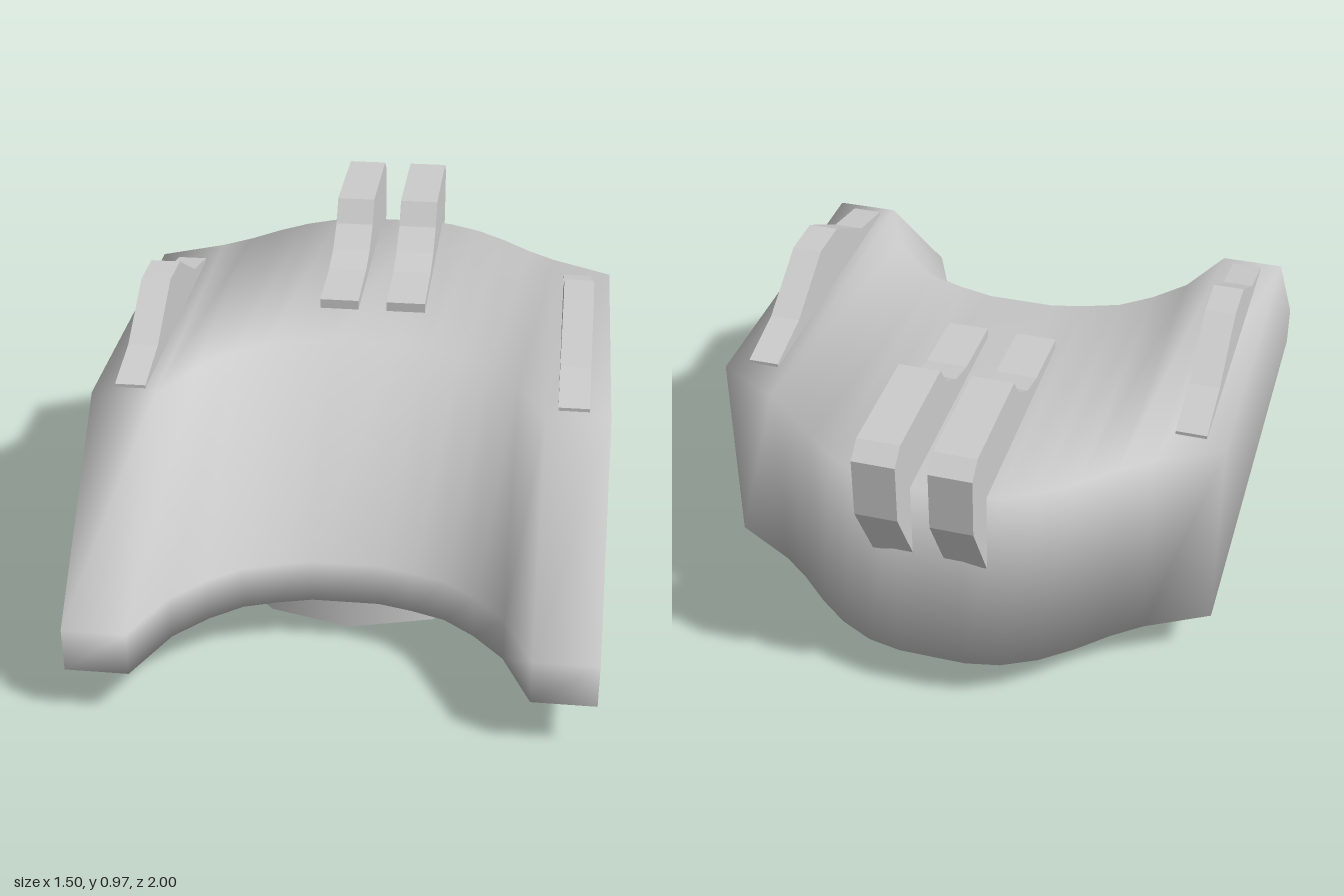
import * as THREE from 'three';

const material = new THREE.MeshStandardMaterial({ color: 0xcccccc, side: THREE.DoubleSide });

// Half plan of the hull: [x, front z, back z]
const halfPlan = [
  [0.1, 0.58, -0.89], [0.2, 0.605, -0.87], [0.3, 0.64, -0.82], [0.39, 0.71, -0.75],
  [0.48, 0.81, -0.665], [0.565, 1, -0.6], [0.75, 1, -0.5],
];

// Hull: one five-cornered side section per plan column, joined in a smooth loop
function hullGeometry() {
  const mirrored = halfPlan.map(([x, f, b]) => [-x, f, b]).reverse();
  const columns = [...mirrored, ...halfPlan];
  const positions = [];
  const index = [];
  for (const [x, front, back] of columns) {
    positions.push(
      x, 0.155, front,
      x, 0.29, front,
      x, 0.78, front - 0.5,
      x, 0.78, back,
      x, 0.155, back,
    );
  }
  const last = (columns.length - 1) * 5;
  for (let i = 0; i < last; i += 5) {
    for (let k = 0; k < 5; k++) {
      const n = (k + 1) % 5;
      index.push(i + k, i + 5 + k, i + 5 + n, i + k, i + 5 + n, i + n);
    }
  }
  // Flat end walls
  for (let k = 1; k < 4; k++) {
    index.push(0, k, k + 1);
    index.push(last, last + k + 1, last + k);
  }
  const geometry = new THREE.BufferGeometry();
  geometry.setAttribute('position', new THREE.Float32BufferAttribute(positions, 3));
  geometry.setIndex(index);
  geometry.computeVertexNormals();
  return geometry;
}

// Upright plate with a [z, y] outline, spanning x0 to x1
function plateGeometry(outline, x0, x1) {
  const shape = new THREE.Shape(outline.map(([z, y]) => new THREE.Vector2(z, y)));
  const geometry = new THREE.ExtrudeGeometry(shape, { depth: x1 - x0, bevelEnabled: false });
  geometry.rotateY(-Math.PI / 2);
  geometry.translate(x1, 0, 0);
  return geometry;
}

const finOutline = [
  [0.46, 0.775], [0.46, 0.79], [0.28, 0.83], [0.07, 0.95],
  [-0.07, 0.95], [-0.28, 0.83], [-0.46, 0.79], [-0.46, 0.775],
];

const clawOutline = [
  [-0.14, 0.775], [-0.14, 0.81], [-0.36, 0.82], [-0.46, 0.845], [-0.55, 0.9], [-0.6, 0.97],
  [-0.95, 0.97], [-1, 0.93], [-1, 0.75], [-0.88, 0.53], [-0.86, 0.53], [-0.86, 0.775],
];

export function createModel() {
  const group = new THREE.Group();
  const add = (name, geometry) => {
    const mesh = new THREE.Mesh(geometry, material);
    mesh.name = name;
    group.add(mesh);
  };

  add('hull', hullGeometry());

  // Open collar under the hull
  const collar = new THREE.CylinderGeometry(0.5, 0.5, 0.16, 12, 1, true);
  collar.translate(0, 0.08, -0.01);
  add('collar', collar);

  // Side fins and rear claws, one of each per side
  for (const [side, s] of [['left', 1], ['right', -1]]) {
    const span = (a, b) => (s > 0 ? [a, b] : [-b, -a]);
    add(side + 'Fin', plateGeometry(finOutline, ...span(0.6, 0.69)));
    add(side + 'Claw', plateGeometry(clawOutline, ...span(0.045, 0.167)));
  }
  return group;
}
